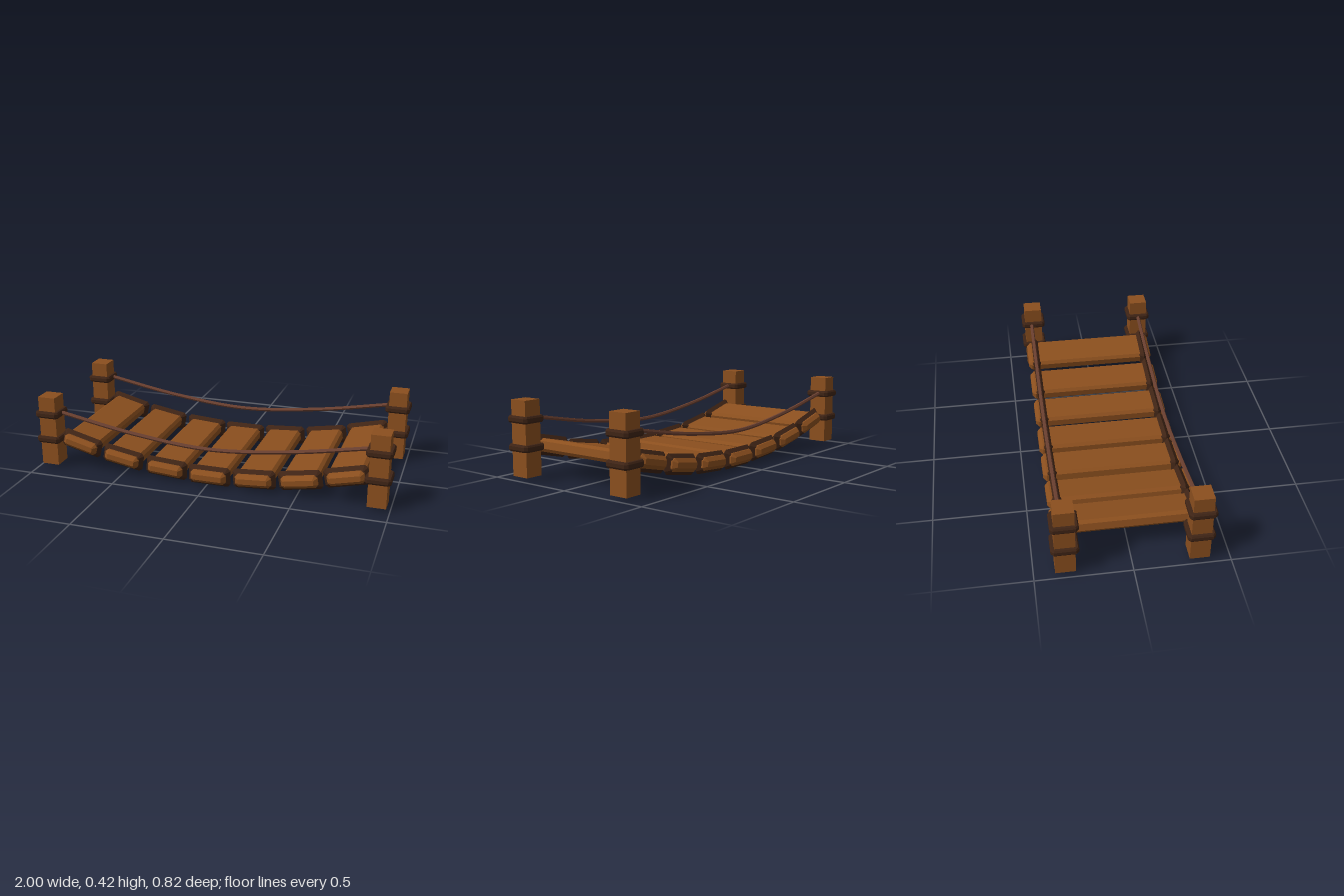
import * as THREE from 'three';

const mat = (color) => new THREE.MeshStandardMaterial({ color, flatShading: true });
const wood = mat(0x8b4f1e);
const binding = mat(0x3f2415);
const cord = mat(0x6b4030);

function add(parent, name, geometry, material, x = 0, y = 0, z = 0) {
  const mesh = new THREE.Mesh(geometry, material);
  mesh.name = name;
  mesh.position.set(x, y, z);
  parent.add(mesh);
  return mesh;
}

// Rectangle with cut corners, counter-clockwise
function cutRect(a, b, c) {
  return [[a, -b + c], [a, b - c], [a - c, b], [-a + c, b],
    [-a, b - c], [-a, -b + c], [-a + c, -b], [a - c, -b]];
}

// Closed band along z around a rectangle; profile is [outward offset, z] pairs
function bandGeometry(a, b, profile) {
  const positions = [], index = [], n = profile.length;
  for (const [d, z] of profile) {
    for (const [x, y] of cutRect(a + d, b + d, 0.002 + Math.max(d, 0) * 0.7)) positions.push(x, y, z);
  }
  for (let i = 0; i < n; i++) {
    for (let j = 0; j < 8; j++) {
      const i2 = (i + 1) % n, j2 = (j + 1) % 8;
      const p = i * 8 + j, q = i * 8 + j2, r = i2 * 8 + j2, s = i2 * 8 + j;
      index.push(p, q, r, p, r, s);
    }
  }
  const g = new THREE.BufferGeometry();
  g.setAttribute('position', new THREE.Float32BufferAttribute(positions, 3));
  g.setIndex(index);
  g.computeVertexNormals();
  return g;
}

// Plank with chamfers on every edge, length along z
function plankGeometry() {
  const shape = new THREE.Shape(cutRect(0.08, 0.015, 0.004).map(([x, y]) => new THREE.Vector2(x, y)));
  const g = new THREE.ExtrudeGeometry(shape, {
    depth: 0.744, bevelEnabled: true, bevelSize: 0.02, bevelThickness: 0.02, bevelSegments: 1,
  });
  return g.translate(0, 0, -0.372);
}

export function createModel() {
  const model = new THREE.Group();
  model.name = 'ropeBridge';

  // Corner posts, each with two bindings
  const postGeo = new THREE.BoxGeometry(0.1, 0.4, 0.104);
  const postBand = bandGeometry(0.05, 0.052, [
    [-0.005, -0.018], [0.013, -0.018], [0.019, -0.009], [0.019, 0.009], [0.013, 0.018], [-0.005, 0.018],
  ]).rotateX(-Math.PI / 2);
  for (const sx of [-1, 1]) {
    for (const sz of [-1, 1]) {
      const post = new THREE.Group();
      post.name = (sz > 0 ? 'front' : 'back') + (sx > 0 ? 'Left' : 'Right') + 'Post';
      post.position.set(sx * 0.931, 0, sz * 0.34);
      add(post, 'postBody', postGeo, wood, 0, 0.218);
      for (const y of [0.17, 0.318]) add(post, 'postBinding', postBand, binding, 0, y);
      model.add(post);
    }
  }

  // Sagging deck: centre x, centre y, tilt in degrees
  const deck = [
    [-0.747, 0.152, -14.5], [-0.497, 0.097, -10], [-0.238, 0.067, -4], [0.012, 0.055, 0],
    [0.266, 0.067, 4], [0.519, 0.097, 9.5], [0.763, 0.152, 13],
  ];
  const plankGeo = plankGeometry();
  const plankBand = bandGeometry(0.1, 0.035, [[-0.006, -0.026], [0.02, 0], [-0.006, 0.026]]);
  for (const [x, y, tilt] of deck) {
    const plank = new THREE.Group();
    plank.name = 'plank';
    plank.position.set(x, y, 0);
    plank.rotation.z = THREE.MathUtils.degToRad(tilt);
    add(plank, 'board', plankGeo, wood);
    for (const z of [-0.342, 0.342]) add(plank, 'plankBinding', plankBand, binding, 0, 0, z);
    model.add(plank);
  }

  // Hanging hand ropes
  for (const [name, z] of [['frontRope', 0.338], ['backRope', -0.352]]) {
    const path = new THREE.CatmullRomCurve3(
      [[-0.9, 0.326], [-0.45, 0.245], [0, 0.204], [0.45, 0.245], [0.9, 0.326]]
        .map(([x, y]) => new THREE.Vector3(x, y, z)));
    add(model, name, new THREE.TubeGeometry(path, 28, 0.011, 6), cord);
  }
  return model;
}
